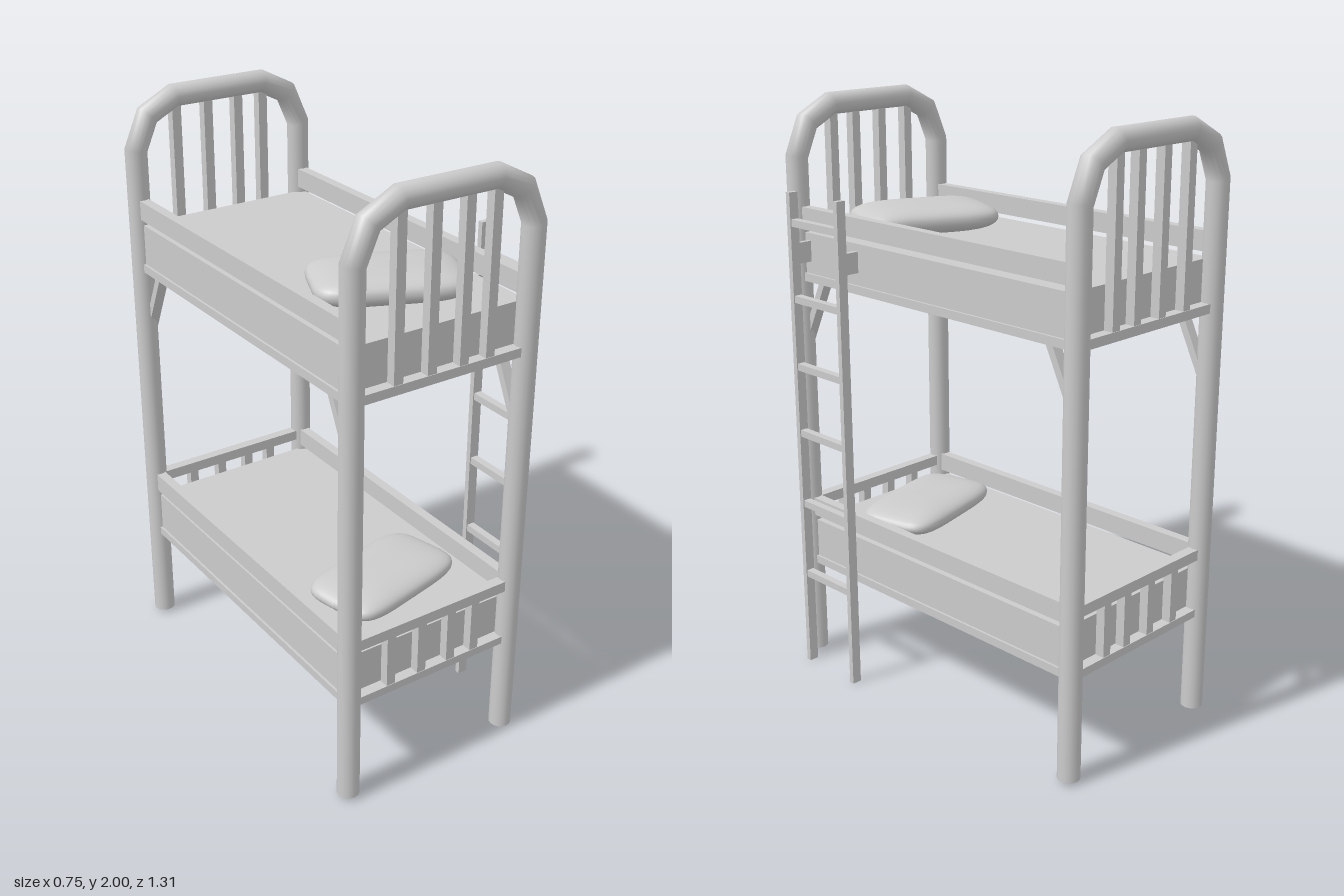
import * as THREE from 'three';

const grey = new THREE.MeshStandardMaterial({ color: 0xcccccc });
const CX = -0.028; // centre line of the bed, the ladder hangs off its +x side
const END_Z = 0.619;
const HALF = 0.313; // leg offset from the centre line

function add(parent, name, geometry) {
  const mesh = new THREE.Mesh(geometry, grey);
  mesh.name = name;
  parent.add(mesh);
  return mesh;
}

// Box given by its min/max along each axis
function box(parent, name, [x0, x1], [y0, y1], [z0, z1]) {
  const mesh = add(parent, name, new THREE.BoxGeometry(x1 - x0, y1 - y0, z1 - z0));
  mesh.position.set((x0 + x1) / 2, (y0 + y1) / 2, (z0 + z1) / 2);
  return mesh;
}

// Round pipe swept along a polyline in the xy plane, mitred at each corner
function pipe(points, radius, sides) {
  const pos = [], index = [];
  const pts = points.map(([x, y]) => new THREE.Vector2(x, y));
  const last = pts.length - 1;
  pts.forEach((p, i) => {
    const a = pts[Math.min(i + 1, last)].clone().sub(pts[Math.min(i, last - 1)]).normalize();
    const b = pts[Math.max(i, 1)].clone().sub(pts[Math.max(i - 1, 0)]).normalize();
    const t = a.clone().add(b).normalize();
    const stretch = radius / t.dot(a);
    for (let j = 0; j < sides; j++) {
      const u = (j / sides) * Math.PI * 2;
      const c = Math.cos(u) * stretch;
      pos.push(p.x - t.y * c, p.y + t.x * c, Math.sin(u) * radius);
    }
  });
  for (let i = 0; i < last; i++) {
    for (let j = 0; j < sides; j++) {
      const k = (j + 1) % sides;
      const a = i * sides + j, b = i * sides + k;
      index.push(a, b, a + sides, b, b + sides, a + sides);
    }
  }
  const g = new THREE.BufferGeometry();
  g.setAttribute('position', new THREE.Float32BufferAttribute(pos, 3));
  g.setIndex(index);
  g.computeVertexNormals();
  return g;
}

// Soft cushion: a sphere squared off in plan and flattened in height
function pillow(parent, name, x, y, z, turn, length, height, width) {
  const g = new THREE.SphereGeometry(1, 48, 20);
  const p = g.attributes.position;
  const power = (v, e) => Math.sign(v) * Math.pow(Math.abs(v), e);
  for (let i = 0; i < p.count; i++) {
    const rho = Math.hypot(p.getX(i), p.getZ(i));
    const t = Math.atan2(p.getZ(i), p.getX(i));
    const r = Math.pow(rho, 0.65);
    p.setXYZ(i,
      power(Math.cos(t), 0.42) * r * length / 2,
      power(p.getY(i), 0.85) * height / 2,
      power(Math.sin(t), 0.42) * r * width / 2);
  }
  g.computeVertexNormals();
  const mesh = add(parent, name, g);
  mesh.position.set(x, y, z);
  mesh.rotation.y = turn;
}

// Bent pipe end frame with its bars and cross rails
function endFrame(z) {
  const end = new THREE.Group();
  end.name = z > 0 ? 'frontEndFrame' : 'backEndFrame';
  end.position.z = z;
  const half = [[HALF, 0.012], [HALF, 1.8], [0.265, 1.91], [0.165, 1.961]];
  const path = [
    ...half.map(([x, y]) => [CX - x, y]),
    ...half.slice().reverse().map(([x, y]) => [CX + x, y]),
  ];
  add(end, 'archedPipe', pipe(path, 0.037, 16));
  for (const s of [-1, 1]) {
    const foot = add(end, 'footCap', new THREE.CircleGeometry(0.037, 16));
    foot.rotation.x = Math.PI / 2;
    foot.position.set(CX + s * HALF, 0.012, 0);
  }
  const span = [CX - HALF, CX + HALF];
  box(end, 'upperCrossRail', span, [1.39, 1.42], [-0.018, 0.018]);
  box(end, 'lowerCrossRail', span, [0.355, 0.382], [-0.018, 0.018]);
  box(end, 'lowerTopRail', span, [0.56, 0.597], [-0.018, 0.018]);
  for (const x of [-0.193, -0.075, 0.04, 0.136]) {
    const w = [x - 0.016, x + 0.016];
    box(end, 'upperBar', w, [1.41, 1.95], [-0.016, 0.016]);
    box(end, 'lowerBar', w, [0.37, 0.57], [-0.016, 0.016]);
  }
  return end;
}

// One bunk: base, mattress and side rails, measured up from its underside
function bunk(name, y) {
  const g = new THREE.Group();
  g.name = name;
  g.position.y = y;
  const w = 0.327;
  box(g, 'base', [CX - w, CX + w], [0, 0.028], [-0.6, 0.6]);
  box(g, 'mattress', [CX - w + 0.008, CX + w - 0.008], [0.028, 0.165], [-0.6, 0.6]);
  for (const s of [-1, 1]) {
    const x = CX + s * (w - 0.017);
    box(g, 'sideRail', [x - 0.017, x + 0.017], [0.185, 0.25], [-0.61, 0.61]);
  }
  return g;
}

// Ladder hooked on the +x side
function ladder() {
  const g = new THREE.Group();
  g.name = 'ladder';
  for (const z of [0.323, 0.563]) {
    box(g, 'ladderUpright', [0.338, 0.372], [0, 1.7], [z - 0.009, z + 0.009]);
    box(g, 'ladderHook', [0.28, 0.345], [1.46, 1.53], [z - 0.008, z + 0.008]);
  }
  for (const y of [0.345, 0.612, 0.872, 1.109, 1.344, 1.6]) {
    box(g, 'rung', [0.342, 0.368], [y - 0.012, y + 0.012], [0.318, 0.568]);
  }
  return g;
}

export function createModel() {
  const model = new THREE.Group();
  model.name = 'bunkBed';
  model.add(endFrame(END_Z), endFrame(-END_Z));
  model.add(bunk('lowerBunk', 0.355), bunk('upperBunk', 1.39), ladder());

  // Slanted braces between the legs and the upper bunk
  for (const sx of [-1, 1]) {
    for (const sz of [-1, 1]) {
      const brace = add(model, 'brace', new THREE.BoxGeometry(0.035, 0.25, 0.024));
      brace.position.set(CX + sx * 0.297, 1.295, sz * 0.558);
      brace.rotation.x = -sz * 0.45;
    }
  }

  pillow(model, 'upperPillow', -0.02, 1.602, 0.337, -0.41, 0.47, 0.098, 0.3);
  pillow(model, 'lowerPillow', -0.02, 0.562, 0.345, 0.24, 0.48, 0.086, 0.29);
  return model;
}
